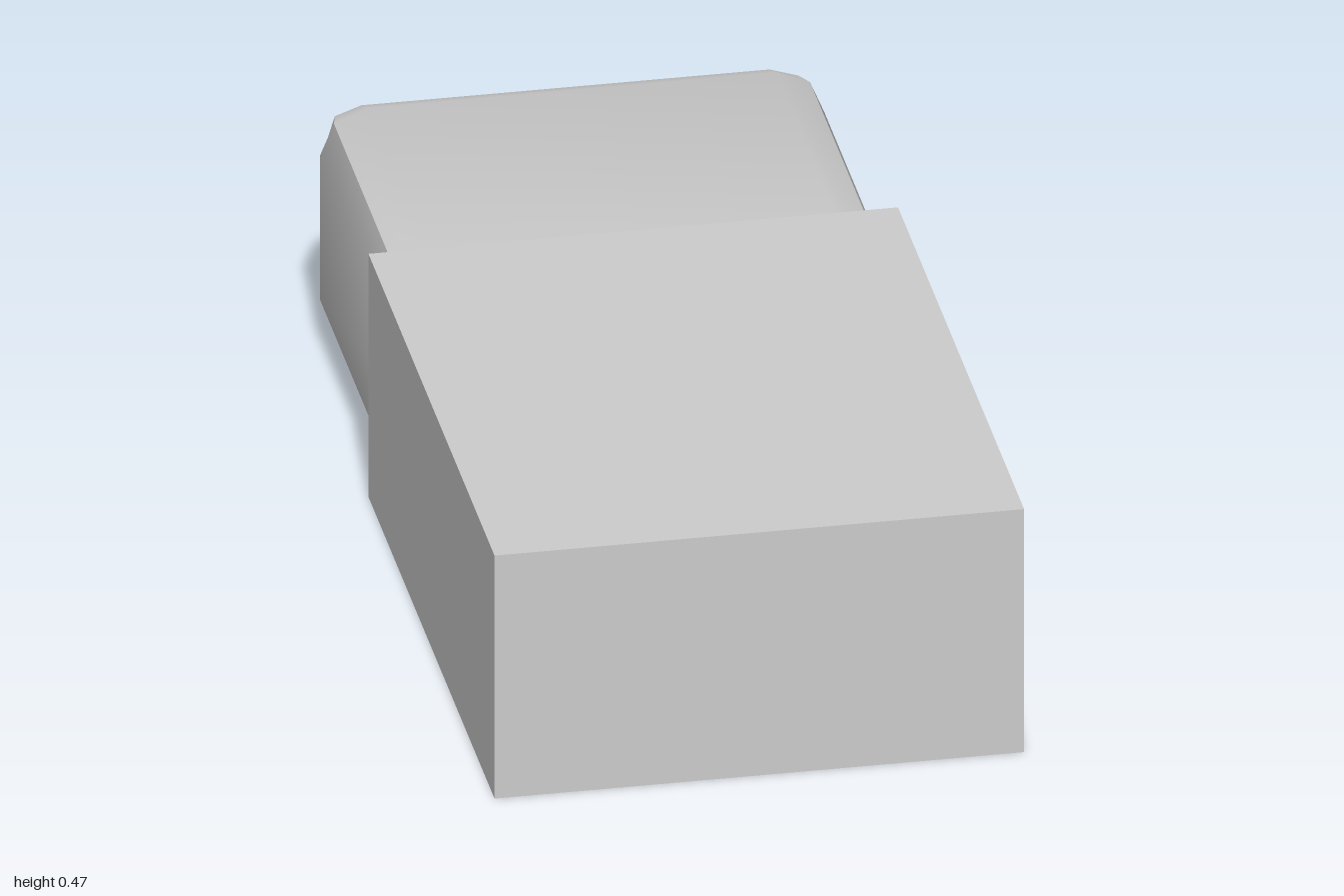
import * as THREE from 'three';
import { RoundedBoxGeometry } from 'three/addons/geometries/RoundedBoxGeometry.js';
import { toCreasedNormals } from 'three/addons/utils/BufferGeometryUtils.js';

export function createModel() {
  const model = new THREE.Group();
  model.name = 'eraser';

  const grey = new THREE.MeshStandardMaterial({ color: 0xcccccc });
  grey.name = 'light grey';

  // Sharp-edged sleeve wrapped round the block
  const sleeve = new THREE.Mesh(new THREE.BoxGeometry(1.165, 0.475, 0.937), grey);
  sleeve.name = 'sleeve';
  sleeve.position.set(0.2935, 0.2375, -0.0145);

  // Rubber block with two-step rounded edges, creased along the middle of each edge
  const blockGeometry = toCreasedNormals(new RoundedBoxGeometry(1.242, 0.4506, 0.892, 1, 0.085), 0.6);
  const block = new THREE.Mesh(blockGeometry, grey);
  block.name = 'rubberBlock';
  block.position.set(-0.319, 0.2375, -0.0145);

  // The whole eraser lies turned on the ground
  const turned = new THREE.Group();
  turned.name = 'turnedEraser';
  turned.rotation.y = -Math.PI / 6;
  turned.add(sleeve, block);
  model.add(turned);
  return model;
}
